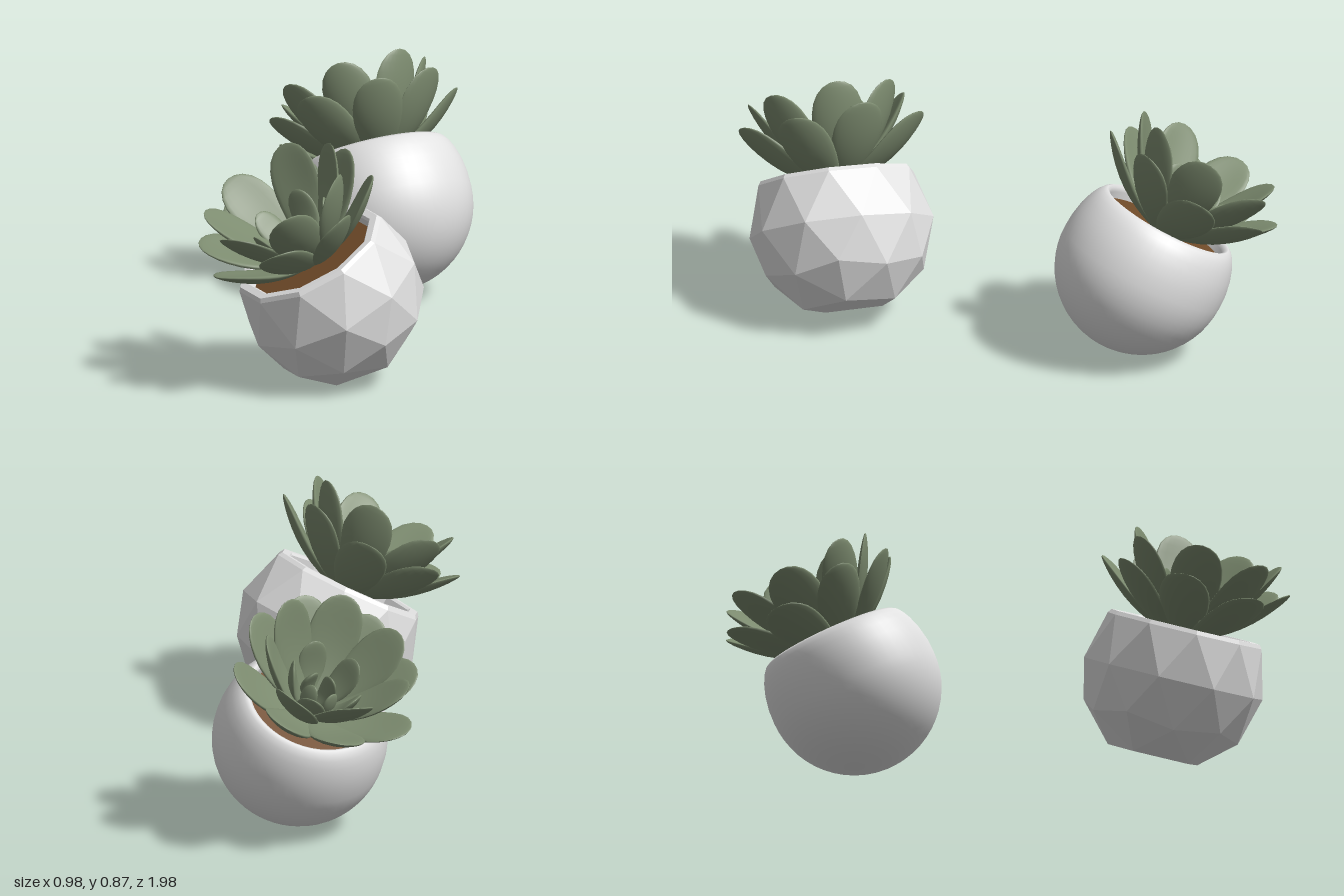
import * as THREE from 'three';

const material = (name, color, side = THREE.FrontSide) => {
  const m = new THREE.MeshStandardMaterial({ color });
  m.name = name;
  m.side = side;
  return m;
};

function addMesh(parent, name, geometry, mat) {
  const mesh = new THREE.Mesh(geometry, mat);
  mesh.name = name;
  parent.add(mesh);
  return mesh;
}

// Ring of points around the y axis
function ring(count, radius, y, degrees) {
  return Array.from({ length: count }, (_, k) => {
    const a = THREE.MathUtils.degToRad(degrees + (360 / count) * k);
    return new THREE.Vector3(Math.cos(a) * radius, y, Math.sin(a) * radius);
  });
}

// Faceted bowl: a once-divided icosahedron with a flat base and a cut, thick rim
function facetedPot(R) {
  const tris = [];
  const spin = 17;
  const polar = (count, deg, az) => {
    const p = THREE.MathUtils.degToRad(deg);
    return ring(count, R * Math.sin(p), R * Math.cos(p), spin + az);
  };
  const base = polar(5, 148.3, 0);
  const corners = polar(5, 116.6, 0);
  const middles = polar(5, 121.7, 36);
  const centre = new THREE.Vector3(0, base[0].y, 0);
  const lower = [];
  for (let k = 0; k < 5; k++) {
    const n = (k + 1) % 5;
    lower.push(corners[k], middles[k]);
    tris.push(centre, base[k], base[n]);
    tris.push(base[k], corners[k], middles[k]);
    tris.push(base[k], middles[k], base[n]);
    tris.push(base[n], middles[k], corners[n]);
  }
  const top = spin + 36;
  const rings = [
    lower, polar(10, 90, 18),
    ring(10, 0.28, 0.172, top), ring(10, 0.27, 0.186, top),
    ring(10, 0.242, 0.186, top), ring(10, 0.234, 0.178, top), ring(10, 0.23, 0.1, top),
  ];
  for (let i = 0; i < rings.length - 1; i++) {
    const a = rings[i], b = rings[i + 1];
    for (let k = 0; k < 10; k++) {
      const n = (k + 1) % 10;
      tris.push(a[k], b[k], a[n], a[n], b[k], b[n]);
    }
  }
  const g = new THREE.BufferGeometry().setFromPoints(tris);
  g.computeVertexNormals();
  return g;
}

// Smooth bowl with a soft shoulder and rolled lip
function roundPot(R) {
  const pts = [];
  for (let i = 0; i <= 14; i++) {
    const a = (i / 14) * Math.PI / 2;
    pts.push(new THREE.Vector2(R * Math.sin(a), -R * Math.cos(a)));
  }
  const shoulder = [[0.304, 0.05], [0.295, 0.1], [0.281, 0.142], [0.267, 0.17],
    [0.252, 0.189], [0.238, 0.197], [0.227, 0.191], [0.223, 0.175], [0.223, 0.1]];
  shoulder.forEach(([r, y]) => pts.push(new THREE.Vector2(r, y)));
  return new THREE.LatheGeometry(pts, 48);
}

// Plump spoon-shaped leaf growing along +y, hollow side facing -z
function leafGeometry(length, width) {
  const g = new THREE.SphereGeometry(1, 20, 14);
  const p = g.attributes.position;
  for (let i = 0; i < p.count; i++) {
    const t = (p.getY(i) + 1) / 2;
    const x = p.getX(i) * width * 0.5 * (0.46 + 0.88 * t);
    const z = p.getZ(i) * 0.017 - 1.8 * x * x + 0.028 * Math.sin(Math.PI * t);
    p.setXYZ(i, x, length * t, z);
  }
  g.computeVertexNormals();
  return g;
}

// Rosette of leaf rings, from spread outer leaves to the small upright heart
function rosette(mat, turn, tip) {
  const plant = new THREE.Group();
  plant.name = 'succulent';
  const layers = [
    { name: 'outerLeaf', count: 8, lean: 56, length: 0.41, width: 0.185 },
    { name: 'middleLeaf', count: 7, lean: 39, length: 0.43, width: 0.185 },
    { name: 'innerLeaf', count: 5, lean: 32, length: 0.26, width: 0.11 },
    { name: 'heartLeaf', count: 4, lean: 16, length: 0.17, width: 0.07 },
  ];
  layers.forEach((layer, i) => {
    const g = leafGeometry(layer.length, layer.width);
    for (let k = 0; k < layer.count; k++) {
      const leaf = addMesh(plant, layer.name, g, mat);
      const lean = layer.lean + 3 * Math.sin(k * 2.4 + i);
      leaf.rotation.order = 'YXZ';
      leaf.rotation.y = turn + i * 0.42 + (k / layer.count) * Math.PI * 2;
      leaf.rotation.x = THREE.MathUtils.degToRad(lean);
    }
  });
  plant.position.y = 0.14;
  plant.rotation.z = tip;
  return plant;
}

// Group at a pot's centre, leaning towards a horizontal direction
function leaningGroup(name, centre, dx, dz, degrees) {
  const g = new THREE.Group();
  g.name = name;
  const t = THREE.MathUtils.degToRad(degrees);
  const d = new THREE.Vector3(dx, 0, dz).normalize();
  const up = d.clone().multiplyScalar(Math.sin(t)).setY(Math.cos(t));
  const side = d.clone().multiplyScalar(-Math.cos(t)).setY(Math.sin(t));
  const basis = new THREE.Matrix4().makeBasis(side, up, side.clone().cross(up));
  g.quaternion.setFromRotationMatrix(basis);
  g.position.set(...centre);
  return g;
}

export function createModel() {
  const ceramic = material('white ceramic', 0xe2e2e2, THREE.DoubleSide);
  const soilBrown = material('brown soil', 0x704b29);
  const leafGreen = material('sage green', 0x7c8b6f);
  const model = new THREE.Group();
  model.name = 'pottedSucculents';

  const front = leaningGroup('facetedPlanter', [0.185, 0.32, 0.562], -1, 1, 29);
  addMesh(front, 'facetedPot', facetedPot(0.325), ceramic);
  front.add(rosette(leafGreen, 0.2, 0.03));

  const back = leaningGroup('roundPlanter', [-0.035, 0.327, -0.535], -0.74, -0.67, 29);
  addMesh(back, 'roundPot', roundPot(0.306), ceramic);
  back.add(rosette(leafGreen, 0.55, 0.09));

  // Soil discs just below each rim
  [[front, 10, 0.23], [back, 48, 0.224]].forEach(([pot, sides, r]) => {
    const soil = addMesh(pot, 'soil', new THREE.CylinderGeometry(r, r, 0.02, sides), soilBrown);
    soil.position.y = 0.14;
    soil.rotation.y = THREE.MathUtils.degToRad(sides === 10 ? 1 : 0);
  });

  model.add(front, back);
  return model;
}
